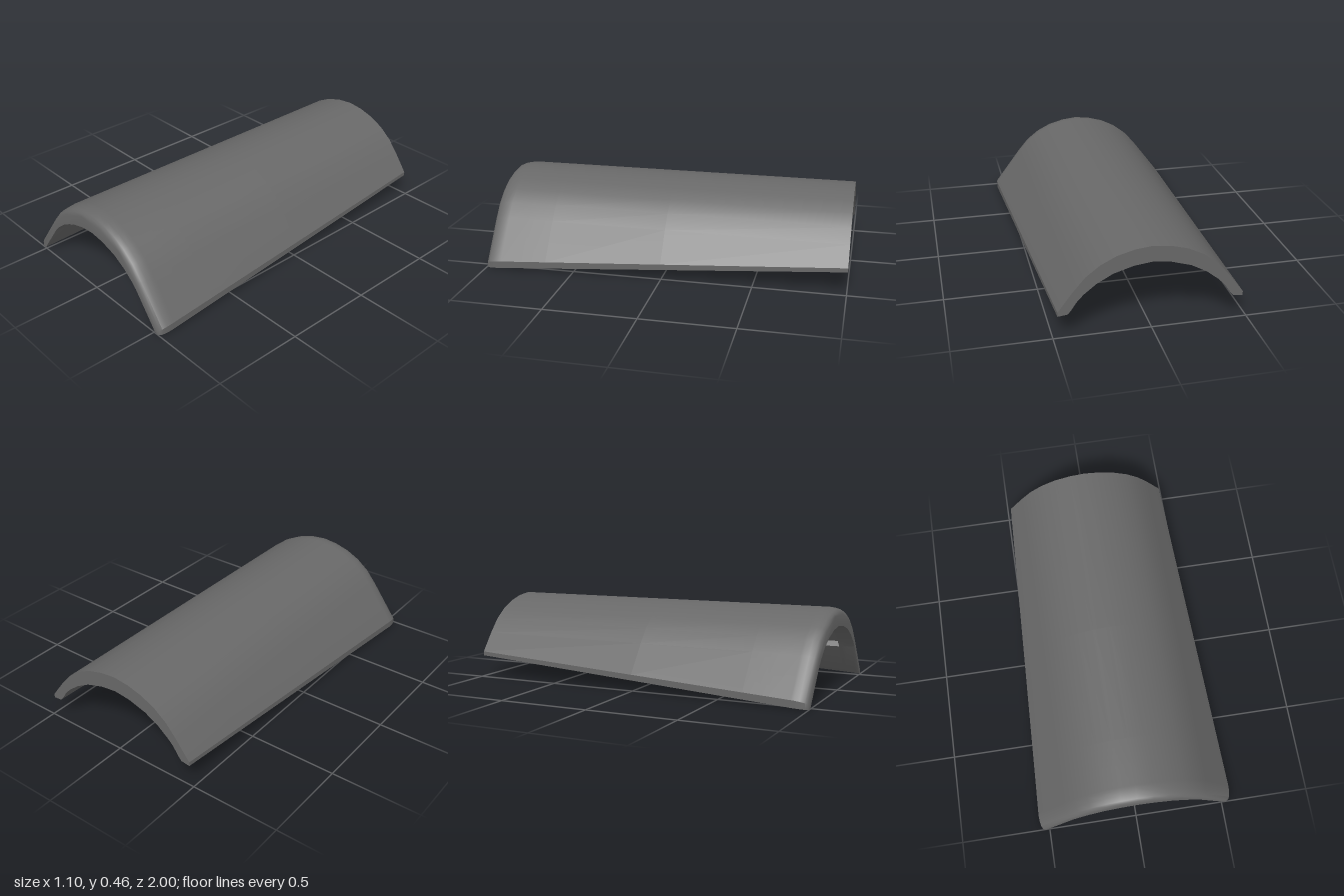
import * as THREE from 'three';
import { toCreasedNormals } from 'three/addons/utils/BufferGeometryUtils.js';

// Half profiles from crown to side edge, at the wide front end
const OUTER = [[0, .455], [.09, .445], [.18, .42], [.262, .379], [.335, .322], [.398, .248], [.555, .04]];
const EDGE = [[.555, 0], [.505, .006]];
const INNER = [[.48, .03], [.365, .183], [.36, .19], [.33, .22], [.27, .268], [.19, .312], [.09, .342], [0, .353]];

// Move a profile point along the arch's outward direction
function offset([x, y], d) {
  const a = Math.min(x / .36, 1) * .927;
  return [x + Math.sin(a) * d, y + Math.cos(a) * d];
}

// Closed cross-section: lip rounds the outside, thin hollows the inside, groove cuts a channel
function section({ z, lip = 0, thin = 0, groove = 0 }) {
  const t = (1 - z) / 2;
  // side edges rise and draw in towards the narrow end
  const taper = ([x, y], dx = -.08, dy = .122) => [x + dx * t, y + dy * t];
  const outer = OUTER.map((p, i) => offset(i === 6 ? taper(p, -.08, .105) : p, -lip));
  const edge = EDGE.map((p, i) => taper([p[0] - (i ? 0 : lip * .8), p[1]]));
  const inner = INNER.map((p, i) => {
    const q = i === 0 ? taper(p, -.083, .105) : p;
    return offset(q, thin + (i >= 2 ? groove : 0) + lip * .4 * p[0]);
  });
  const half = [...outer, ...edge, ...inner];          // crown, outside, edge, inside, crown
  const mirror = half.slice(1, -1).map(([x, y]) => [-x, y]);
  // counter-clockwise seen from the front
  return [...half.slice().reverse(), ...mirror].map(([x, y]) => new THREE.Vector3(x, y, z));
}

function loft(rings) {
  const n = rings[0].length, pos = [], index = [];
  rings.forEach(r => r.forEach(p => pos.push(p.x, p.y, p.z)));
  for (let j = 0; j < rings.length - 1; j++) {
    for (let i = 0; i < n; i++) {
      const a = j * n + i, b = j * n + (i + 1) % n, c = b + n, d = a + n;
      index.push(a, d, c, a, c, b);
    }
  }
  // end faces
  const cap = (ring, base, flip) => {
    const flat = ring.map(p => new THREE.Vector2(p.x, p.y));
    for (const [a, b, c] of THREE.ShapeUtils.triangulateShape(flat, [])) {
      const ccw = (flat[b].x - flat[a].x) * (flat[c].y - flat[a].y) -
        (flat[b].y - flat[a].y) * (flat[c].x - flat[a].x) > 0;
      index.push(base + a, ...(ccw !== flip ? [base + b, base + c] : [base + c, base + b]));
    }
  };
  cap(rings[0], 0, false);
  cap(rings[rings.length - 1], (rings.length - 1) * n, true);
  const geo = new THREE.BufferGeometry();
  geo.setAttribute('position', new THREE.Float32BufferAttribute(pos, 3));
  geo.setIndex(index);
  return toCreasedNormals(geo, .6);
}

export function createModel() {
  const group = new THREE.Group();
  group.name = 'roofTile';
  const rings = [
    // rounded front lip
    { z: 1, lip: .035 }, { z: .994, lip: .021 }, { z: .982, lip: .011 },
    { z: .955, lip: .004 }, { z: .925 },
    // channel under the thick front band
    { z: .91 }, { z: .908, groove: .035 }, { z: .79, groove: .035 }, { z: .788 },
    // thinner body running to the back
    { z: .76 }, { z: .73, thin: .006 }, { z: .69, thin: .014 }, { z: .65, thin: .016 },
    { z: 0, thin: .016 }, { z: -1, thin: .016 },
  ].map(section);
  const tile = new THREE.Mesh(loft(rings), new THREE.MeshStandardMaterial({ color: 0x686868 }));
  tile.name = 'archedTile';
  group.add(tile);
  return group;
}
